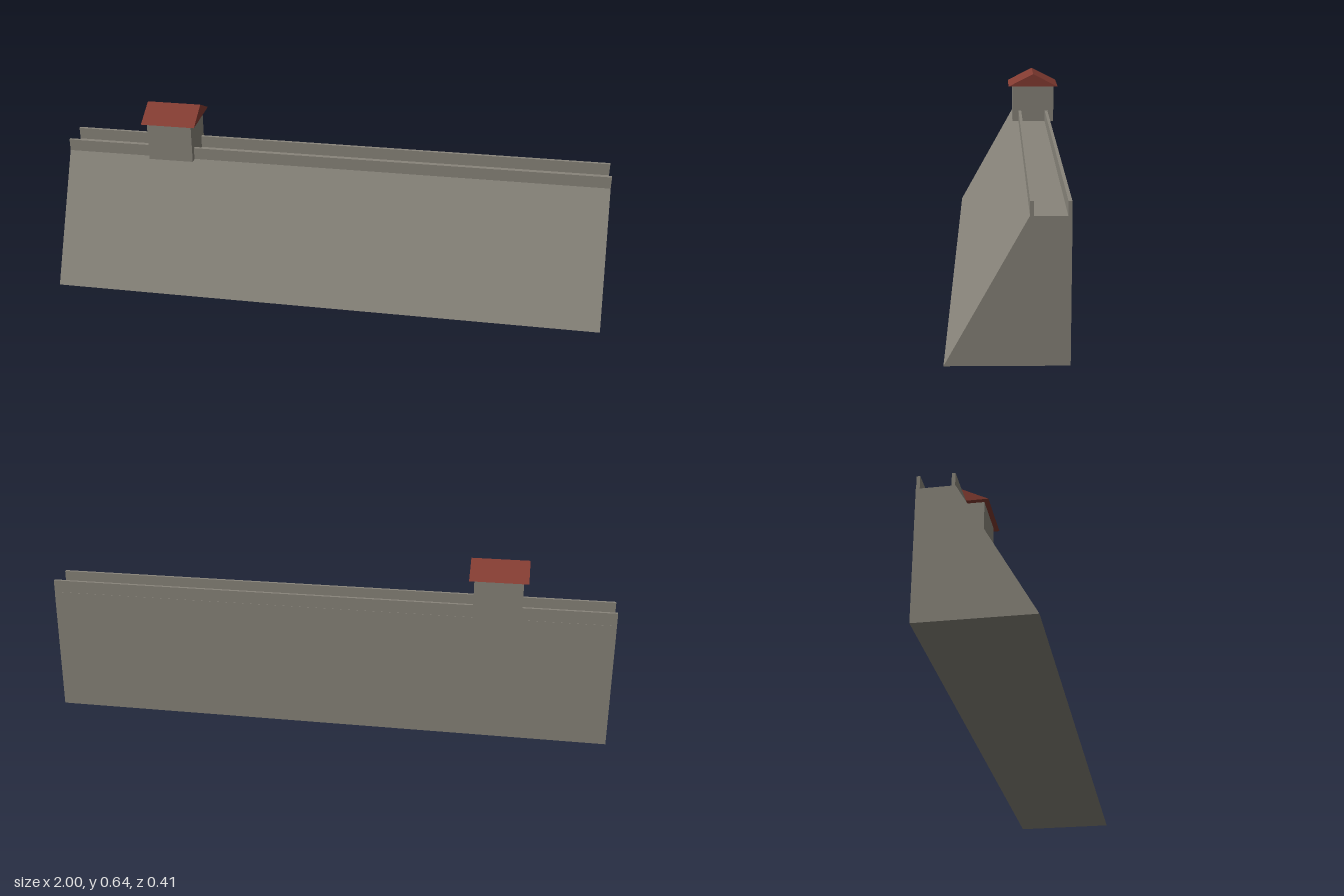
import * as THREE from 'three';

// Extrudes a (z, y) outline along x, centred on x
function prism(points, length, x, material, name) {
  const shape = new THREE.Shape(points.map(([z, y]) => new THREE.Vector2(-z, y)));
  const geometry = new THREE.ExtrudeGeometry(shape, { depth: length, bevelEnabled: false });
  geometry.translate(0, 0, -length / 2);
  geometry.rotateY(Math.PI / 2); // extrusion runs along x, outline z is restored
  const mesh = new THREE.Mesh(geometry, material);
  mesh.position.x = x;
  mesh.name = name;
  return mesh;
}

function block(w, h, d, x, baseY, z, material, name) {
  const mesh = new THREE.Mesh(new THREE.BoxGeometry(w, h, d), material);
  mesh.position.set(x, baseY + h / 2, z);
  mesh.name = name;
  return mesh;
}

export function createModel() {
  const stone = new THREE.MeshStandardMaterial({ name: 'stone', color: 0x88847a });
  const roofTile = new THREE.MeshStandardMaterial({ name: 'roofTile', color: 0x843c32 });

  const group = new THREE.Group();
  group.name = 'dam';

  const crest = 0.446, axisZ = -0.103, towerX = -0.6;

  // Wall with a sloping front and an upright back
  group.add(prism([[0.204, 0], [-0.163, 0], [-0.163, crest], [-0.043, crest]], 2, 0, stone, 'damWall'));

  // Parapets along both edges of the crest walkway
  for (const [side, name] of [[1, 'frontParapet'], [-1, 'backParapet']]) {
    group.add(block(2, 0.044, 0.011, 0, crest, axisZ + side * 0.0535, stone, name));
  }

  // Gatehouse straddling the crest
  group.add(block(0.166, 0.145, 0.167, towerX, crest - 0.001, axisZ, stone, 'gatehouse'));

  // Gabled roof, ridge along the wall
  group.add(prism([[axisZ + 0.1, 0.59], [axisZ - 0.1, 0.59], [axisZ, 0.641]], 0.2, towerX, roofTile, 'gatehouseRoof'));

  return group;
}
